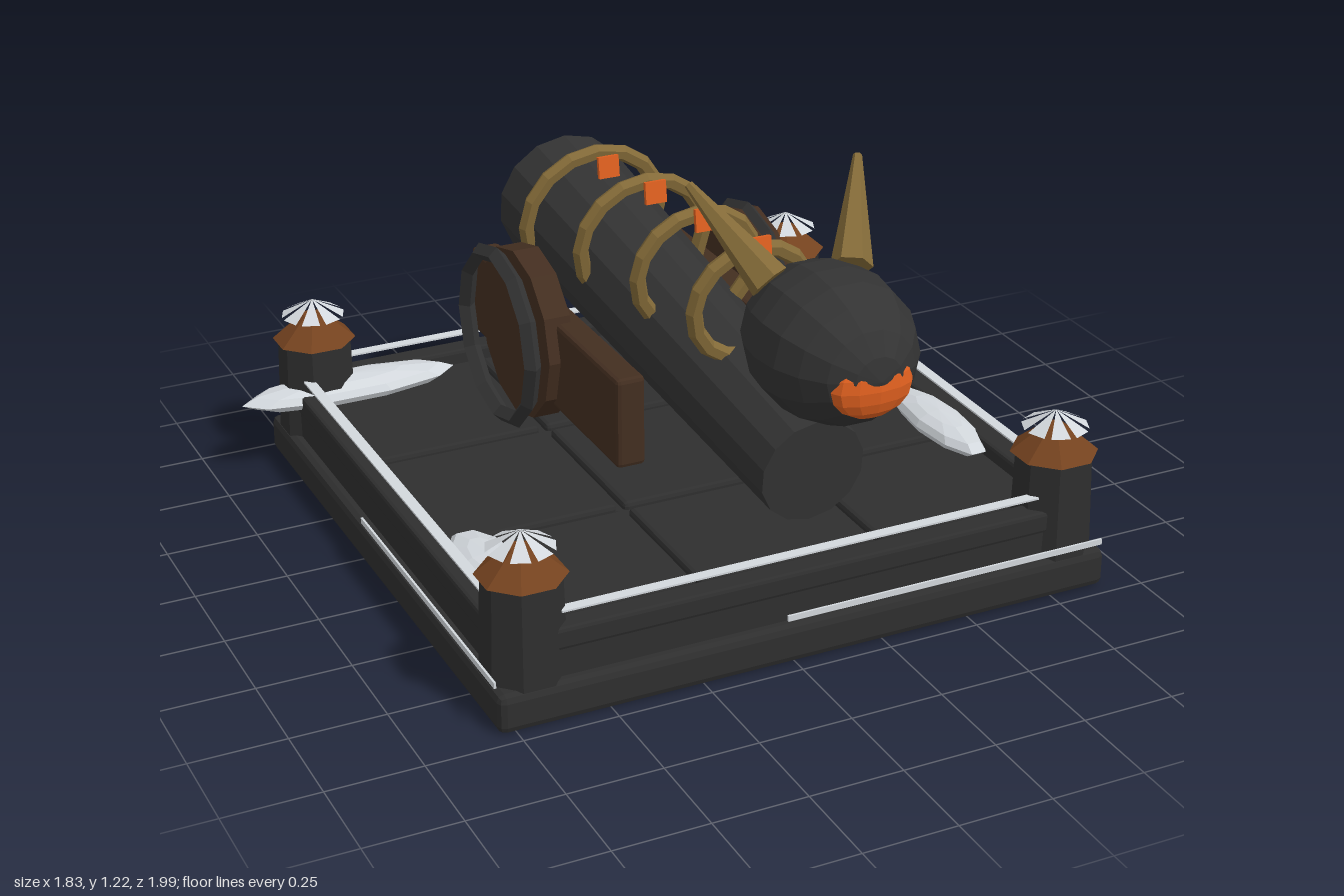
import * as THREE from 'three';
import { RoundedBoxGeometry } from 'three/addons/geometries/RoundedBoxGeometry.js';

const CX = 0.055, CZ = -0.135; // plan centre of the platform

export function createModel() {
  const mat = (name, color, side = THREE.FrontSide) => {
    const m = new THREE.MeshStandardMaterial({ color, side });
    m.name = name;
    return m;
  };
  const iron = mat('dark iron', 0x333333);
  const stone = mat('dark stone', 0x2e2e2e);
  const gold = mat('old gold', 0x836a38);
  const orange = mat('glowing orange', 0xe0601f);
  const roofBrown = mat('roof brown', 0x75431f);
  const wood = mat('dark wood', 0x432e20);
  const snow = mat('snow', 0xd2d7dc, THREE.DoubleSide);

  const model = new THREE.Group();
  // Adds a faceted mesh
  const add = (parent, name, geo, material, x = 0, y = 0, z = 0) => {
    const g = geo.index ? geo.toNonIndexed() : geo;
    g.computeVertexNormals();
    const m = new THREE.Mesh(g, material);
    m.name = name;
    m.position.set(x, y, z);
    parent.add(m);
    return m;
  };
  const box = (w, h, d) => new THREE.BoxGeometry(w, h, d);
  const bevel = (w, h, d, r) => new RoundedBoxGeometry(w, h, d, 1, r);
  const ball = (rx, ry, rz, w = 12, h = 8) => new THREE.SphereGeometry(1, w, h).scale(rx, ry, rz);

  // Platform: plinth, deck and paving
  const platform = new THREE.Group();
  platform.name = 'platform';
  platform.position.set(CX, 0, CZ);
  model.add(platform);
  add(platform, 'plinth', bevel(1.7, 0.105, 1.7, 0.02), stone, 0, 0.0525, 0);
  add(platform, 'deck', box(1.56, 0.08, 1.56), stone, 0, 0.14, 0);
  for (let i = -1; i <= 1; i++)
    for (let j = -1; j <= 1; j++)
      add(platform, 'pavingSlab', bevel(0.49, 0.04, 0.49, 0.012), stone, i * 0.51, 0.18, j * 0.51);

  // Snow cap for the towers: eight wedges with narrow slits
  const capGeometry = () => {
    const p = [], r = 0.088, gap = 0.1;
    for (let i = 0; i < 8; i++) {
      const a = (i * Math.PI) / 4 + gap, b = ((i + 1) * Math.PI) / 4 - gap;
      p.push(0, 0.045, 0, Math.sin(a) * r, 0, Math.cos(a) * r, Math.sin(b) * r, 0, Math.cos(b) * r);
    }
    return new THREE.BufferGeometry().setAttribute('position', new THREE.Float32BufferAttribute(p, 3));
  };

  // Four sides, each with a wall, rail, frost lines and one corner tower
  for (let i = 0; i < 4; i++) {
    const side = new THREE.Group();
    side.name = 'platformSide';
    side.rotation.y = (i * Math.PI) / 2;
    platform.add(side);
    add(side, 'wall', box(1.4, 0.075, 0.06), stone, 0, 0.1425, 0.785);
    add(side, 'rail', bevel(1.4, 0.06, 0.07, 0.01), stone, 0, 0.207, 0.785);
    add(side, 'railFrost', box(1.33, 0.005, 0.03), snow, 0, 0.274, 0.79);
    add(side, 'plinthFrost', box(0.915, 0.016, 0.006), snow, 0.375, 0.135, 0.853);

    const tower = new THREE.Group();
    tower.name = 'cornerTower';
    tower.position.set(0.743, 0, 0.743);
    side.add(tower);
    const eighth = Math.PI / 8;
    add(tower, 'towerBody', new THREE.CylinderGeometry(0.1, 0.108, 0.27, 8).rotateY(eighth), stone, 0, 0.235, 0);
    add(tower, 'towerRoof', new THREE.CylinderGeometry(0.03, 0.115, 0.072, 8).rotateY(eighth), roofBrown, 0, 0.405, 0);
    add(tower, 'towerSnow', capGeometry(), snow, 0, 0.44, 0);
  }

  // Snow drifts: x, z, half width, half depth
  for (const [x, z, rx, rz] of [
    [-0.645, 0.29, 0.085, 0.19], [0.775, 0.075, 0.07, 0.225],
    [-0.605, -0.84, 0.315, 0.085], [0.64, -0.85, 0.17, 0.065],
  ]) add(model, 'snowDrift', ball(rx, 0.037, rz, 10, 6), snow, x, 0.218, z);

  // Barrel, tapering to the front and tipped down
  const from = new THREE.Vector3(CX, 0.68, -0.833), to = new THREE.Vector3(CX, 0.505, 0.677);
  const up = new THREE.Vector3(0, 1, 0);
  // Tapered tube between two points
  const tube = (parent, name, a, b, ra, rb, n, material) => {
    const dir = b.clone().sub(a);
    const m = add(parent, name, new THREE.CylinderGeometry(rb, ra, dir.length(), n), material);
    m.position.copy(a).add(b).multiplyScalar(0.5);
    m.quaternion.setFromUnitVectors(up, dir.normalize());
    return m;
  };
  tube(model, 'barrel', from, to, 0.193, 0.14, 14, iron);

  // Hoops over the barrel, each with a glowing plate: y, z, outer radius
  for (const [y, z, r] of [[0.82, 0.335, 0.178], [0.79, 0.025, 0.187], [0.748, -0.298, 0.203], [0.7, -0.622, 0.222]]) {
    const hoop = add(model, 'hoop', new THREE.TorusGeometry(r - 0.022, 0.023, 6, 16), gold, CX, y, z);
    hoop.rotation.x = 0.15;
  }
  for (let i = 0; i < 4; i++) {
    const rune = add(model, 'glowPlate', box(0.06, 0.06, 0.012), orange, CX, 0.98 - i * 0.033, 0.382 - i * 0.299);
    rune.rotation.x = -0.13;
  }

  // Horned head in front of the barrel
  const head = new THREE.Group();
  head.name = 'head';
  model.add(head);
  add(head, 'skull', new THREE.SphereGeometry(1, 14, 10).rotateX(Math.PI / 2).scale(0.2, 0.19, 0.25), iron, CX, 0.88, 0.744);
  add(head, 'mouth', ball(0.108, 0.082, 0.045), orange, CX, 0.855, 0.949);
  for (const s of [-1, 1])
    tube(head, 'horn', new THREE.Vector3(CX + s * 0.11, 1.015, 0.645),
      new THREE.Vector3(CX + s * 0.228, 1.212, 0.45), 0.052, 0.011, 6, gold);

  // Carriage beams and wheels
  for (const s of [-1, 1]) {
    add(model, 'carriageBeam', bevel(0.08, 0.25, 0.98, 0.012), wood, CX + s * 0.257, 0.47, -0.305);
    add(model, 'wheelRim', new THREE.TorusGeometry(0.232, 0.024, 4, 12).rotateY(Math.PI / 2), iron, CX + s * 0.375, 0.495, -0.41);
    add(model, 'wheelDisc', new THREE.CylinderGeometry(0.237, 0.237, 0.074, 12).rotateZ(Math.PI / 2), wood,
      s < 0 ? -0.237 : 0.425, 0.495, -0.41);
  }

  // Row of shot behind the left wheel
  for (let i = 0; i < 3; i++)
    add(model, 'cannonball', ball(0.104, 0.104, 0.104, 12, 8), iron, 0.27 + i * 0.126, 0.368, -0.78);

  return model;
}
